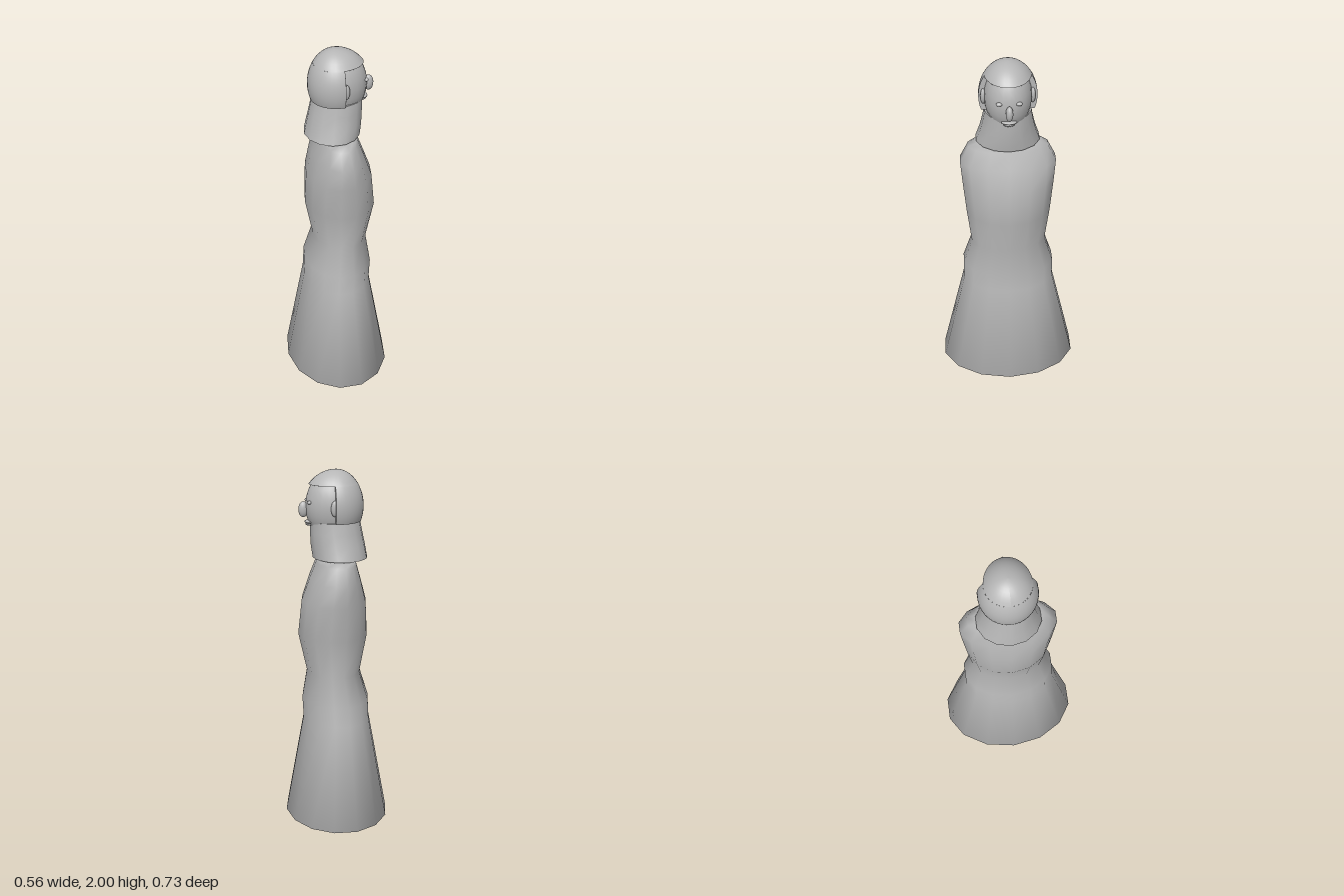
import * as THREE from 'three';
import { toCreasedNormals } from 'three/addons/utils/BufferGeometryUtils.js';

// Skin of elliptical rings [y, xBack, xFront, zRadius], closed at both ends
function loft(rings, sides) {
  const pos = [], idx = [];
  for (const [y, x0, x1, rz] of rings) {
    for (let i = 0; i < sides; i++) {
      const a = (i / sides) * Math.PI * 2;
      pos.push((x0 + x1) / 2 + Math.cos(a) * (x1 - x0) / 2, y, Math.sin(a) * rz);
    }
  }
  for (let r = 0; r < rings.length - 1; r++) {
    for (let i = 0; i < sides; i++) {
      const j = (i + 1) % sides;
      const a = r * sides + i, b = r * sides + j, c = a + sides, d = b + sides;
      idx.push(a, c, b, b, c, d);
    }
  }
  // End fans
  const n = rings.length, first = rings[0], last = rings[n - 1];
  const low = n * sides, high = low + 1, top = (n - 1) * sides;
  pos.push((first[1] + first[2]) / 2, first[4] ?? first[0], 0);
  pos.push((last[1] + last[2]) / 2, last[0], 0);
  for (let i = 0; i < sides; i++) {
    const j = (i + 1) % sides;
    idx.push(low, i, j, high, top + j, top + i);
  }
  const g = new THREE.BufferGeometry();
  g.setAttribute('position', new THREE.Float32BufferAttribute(pos, 3));
  g.setIndex(idx);
  g.computeVertexNormals();
  return g;
}

export function createModel() {
  const model = new THREE.Group();
  const grey = new THREE.MeshStandardMaterial({ color: 0xb6b6b6, side: THREE.DoubleSide });
  grey.name = 'plain grey';

  function add(name, geometry, x = 0, y = 0, z = 0) {
    const mesh = new THREE.Mesh(geometry, grey);
    mesh.name = name;
    mesh.position.set(x, y, z);
    model.add(mesh);
    return mesh;
  }
  function ball(name, x, y, z, rx, ry, rz, seg = 14) {
    return add(name, new THREE.SphereGeometry(1, seg, 12).scale(rx, ry, rz), x, y, z);
  }

  // Long robe with a shallow pointed underside (fifth value: height of the point)
  add('robe', loft([
    [0.10, -0.28, 0.28, 0.374, 0.0],
    [0.65, -0.18, 0.18, 0.25],
    [0.76, -0.175, 0.186, 0.25],
    [0.915, -0.127, 0.16, 0.202],
    [1.12, -0.168, 0.206, 0.227],
    [1.305, -0.16, 0.186, 0.246],
    [1.42, -0.13, 0.143, 0.257],
    [1.51, -0.105, 0.108, 0.212],
    [1.53, -0.10, 0.10, 0.165],
  ], 14));

  // Neck covering, flared at the back and shoulders
  add('neckCovering', toCreasedNormals(loft([
    [1.535, -0.167, 0.125, 0.169],
    [1.60, -0.155, 0.135, 0.148],
    [1.67, -0.14, 0.139, 0.132],
    [1.73, -0.128, 0.14, 0.122],
  ], 14), 0.9));

  // Face
  ball('face', 0.015, 1.81, 0, 0.148, 0.185, 0.122, 24);
  ball('nose', 0.174, 1.793, 0, 0.026, 0.042, 0.019);
  for (const s of [-1, 1]) {
    ball(s < 0 ? 'rightEye' : 'leftEye', 0.148, 1.835, s * 0.05, 0.012, 0.01, 0.017);
    ball(s < 0 ? 'rightEar' : 'leftEar', 0.025, 1.812, s * 0.126, 0.02, 0.042, 0.014);
  }
  ball('upperLip', 0.145, 1.727, 0, 0.022, 0.009, 0.04);
  ball('lowerLip', 0.142, 1.714, 0, 0.02, 0.008, 0.03);

  // Hair: a cap stretched forwards over the brow, and a shell around the back
  const cy = 1.81, rx = 0.145, ry = 0.19, rz = 0.15;
  const brow = 1.925, nape = 1.73, cut = 0.02;
  const tBrow = Math.acos((brow - cy) / ry), tNape = Math.acos((nape - cy) / ry);
  const stretch = 1.25;
  const cap = new THREE.SphereGeometry(1, 28, 8, 0, Math.PI * 2, 0, tBrow);
  const cp = cap.attributes.position;
  for (let i = 0; i < cp.count; i++) {
    const x = cp.getX(i);
    cp.setXYZ(i, x * rx * (x > 0 ? stretch : 1), cp.getY(i) * ry, cp.getZ(i) * rz);
  }
  cap.computeVertexNormals();
  add('hairCap', cap, 0, cy, 0);

  const shell = new THREE.SphereGeometry(1, 20, 10, -Math.PI / 2 - 0.12, Math.PI + 0.24, tBrow, tNape - tBrow)
    .scale(rx, ry, rz);
  const sp = shell.attributes.position, uv = shell.attributes.uv;
  for (let i = 0; i < sp.count; i++) {
    if (uv.getX(i) < 0.001 || uv.getX(i) > 0.999) sp.setX(i, cut);
  }
  add('hairBack', shell, 0, cy, 0);

  // Flat edges of the hair beside the face and under the brow
  const edge = new THREE.Shape();
  const steps = 10, outline = [];
  for (let i = 0; i <= steps; i++) {
    const t = tBrow + (tNape - tBrow) * i / steps;
    outline.push(new THREE.Vector2(Math.sin(t) * rz, Math.cos(t) * ry));
  }
  edge.setFromPoints([...outline, ...outline.map(p => new THREE.Vector2(-p.x, p.y)).reverse()]);
  add('hairSideEdge', new THREE.ShapeGeometry(edge).rotateY(Math.PI / 2), cut, cy, 0);

  const r = Math.sin(tBrow);
  const under = new THREE.CircleGeometry(1, 20, -Math.PI / 2, Math.PI)
    .scale(r * rx * stretch, r * rz, 1).rotateX(Math.PI / 2);
  add('hairBrowEdge', under, 0, brow, 0);

  return model;
}
